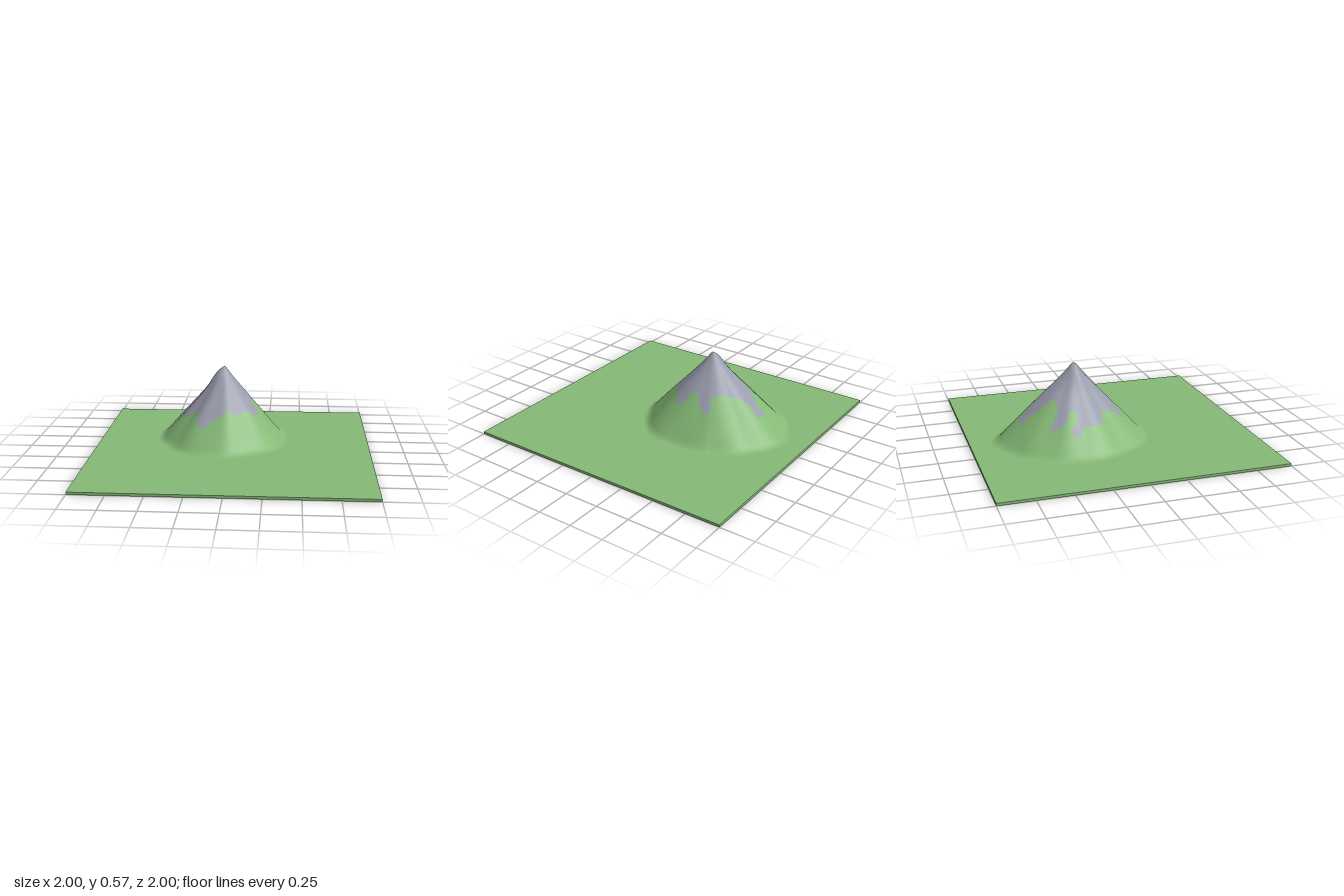
import * as THREE from 'three';

const PLATE = 0.018, PEAK_X = -0.07, PEAK_Z = -0.25;

// Foot radius of the mountain every 30 degrees, from +x towards +z
const RADII = [0.43, 0.47, 0.47, 0.5, 0.5, 0.47, 0.48, 0.5, 0.53, 0.57, 0.51, 0.46];

// Outline of the bare rock seen from above (x, z)
const ROCK = [
  [-0.15, -0.65], [-0.02, -0.65], [-0.06, -0.6], [-0.03, -0.54], [0.05, -0.43], [0.11, -0.36],
  [0.18, -0.39], [0.19, -0.35], [0.17, -0.3], [0.12, -0.25], [0.13, -0.2], [0.18, -0.16],
  [0.18, -0.09], [0.12, -0.08], [0.08, -0.05], [0.02, 0], [-0.03, 0], [-0.08, 0.03],
  [-0.17, 0.06], [-0.21, 0.08], [-0.25, 0.05], [-0.26, -0.05], [-0.29, -0.11], [-0.36, -0.12],
  [-0.39, -0.2], [-0.38, -0.26], [-0.44, -0.31], [-0.43, -0.35], [-0.39, -0.35], [-0.36, -0.3],
  [-0.31, -0.3], [-0.3, -0.34], [-0.36, -0.39], [-0.35, -0.47], [-0.32, -0.49], [-0.28, -0.42],
  [-0.22, -0.41], [-0.18, -0.43], [-0.17, -0.52], [-0.13, -0.6],
].map(([x, z]) => new THREE.Vector2(x, z));

function footRadius(angle) {
  const s = ((angle / (Math.PI * 2) + 1) % 1) * RADII.length;
  const i = Math.floor(s), f = s - i, k = f * f * (3 - 2 * f);
  return THREE.MathUtils.lerp(RADII[i % 12], RADII[(i + 1) % 12], k);
}

// Cone with an uneven foot, soft gullies and a small shoulder beside the summit
function height(x, z) {
  const dx = x - PEAK_X, dz = z - PEAK_Z;
  const angle = Math.atan2(dz, dx);
  const t = Math.hypot(dx, dz) / footRadius(angle);
  const u = 1 - t, w = 0.06;
  const slope = u > w ? u : u < -w ? 0 : (u + w) ** 2 / (4 * w);
  const gully = t < 1 ? 0.01 * Math.sin(9 * angle + 1) * 4 * t * t * (1 - t) : 0;
  const shoulder = 0.035 * Math.exp(-((x + 0.13) ** 2 + (z + 0.24) ** 2) / 0.004);
  return PLATE + 0.545 * slope + gully + shoulder;
}

function insideRock(x, z) {
  let inside = false;
  ROCK.forEach((a, i) => {
    const b = ROCK[(i + 1) % ROCK.length];
    if ((a.y > z) !== (b.y > z) && x < a.x + ((z - a.y) / (b.y - a.y)) * (b.x - a.x)) inside = !inside;
  });
  return inside;
}

// Nearest point on the rock outline
function nearestEdge(p) {
  let best = null, bestD = Infinity;
  ROCK.forEach((a, i) => {
    const ab = ROCK[(i + 1) % ROCK.length].clone().sub(a);
    const t = THREE.MathUtils.clamp(p.clone().sub(a).dot(ab) / ab.lengthSq(), 0, 1);
    const q = a.clone().addScaledVector(ab, t);
    const d = q.distanceTo(p);
    if (d < bestD) { bestD = d; best = q; }
  });
  return { point: best, distance: bestD };
}

// Grid lines: dense under the mountain, sparse on the flat
function gridLines(from, to, step) {
  const lines = [-1];
  const n = Math.round((to - from) / step);
  for (let i = 0; i <= n; i++) lines.push(from + ((to - from) * i) / n);
  lines.push(1);
  return lines;
}

function terrainGeometry() {
  const step = 0.0125;
  const xs = gridLines(-0.66, 0.5, step), zs = gridLines(-0.92, 0.34, step);
  const pos = [], grass = [], rock = [];
  for (const z of zs) for (const x of xs) {
    const p = new THREE.Vector2(x, z);
    // Pull vertices near the outline onto it for a clean colour border
    const edge = nearestEdge(p);
    if (edge.distance < step * 0.5) p.copy(edge.point);
    pos.push(p.x, height(p.x, p.y), p.y);
  }
  const addFace = (...f) => {
    const cx = f.reduce((s, i) => s + pos[i * 3], 0) / 3;
    const cz = f.reduce((s, i) => s + pos[i * 3 + 2], 0) / 3;
    (insideRock(cx, cz) ? rock : grass).push(...f);
  };
  for (let j = 0; j < zs.length - 1; j++) for (let i = 0; i < xs.length - 1; i++) {
    const a = j * xs.length + i, b = a + 1, c = a + xs.length, d = c + 1;
    addFace(a, c, b);
    addFace(b, c, d);
  }
  const g = new THREE.BufferGeometry();
  g.setAttribute('position', new THREE.Float32BufferAttribute(pos, 3));
  g.setIndex([...grass, ...rock]);
  g.addGroup(0, grass.length, 0);
  g.addGroup(grass.length, rock.length, 1);
  g.computeVertexNormals();
  return g;
}

export function createModel() {
  const grass = new THREE.MeshStandardMaterial({ color: 0x86ba76 });
  grass.name = 'grass green';
  const rock = new THREE.MeshStandardMaterial({ color: 0x9a9dad });
  rock.name = 'rock grey';

  const model = new THREE.Group();
  model.name = 'mountainTerrain';
  const add = (name, geometry, material) => {
    const mesh = new THREE.Mesh(geometry, material);
    mesh.name = name;
    model.add(mesh);
    return mesh;
  };

  add('mountainSurface', terrainGeometry(), [grass, rock]);

  // Four thin side walls of the ground plate
  const walls = new THREE.BoxGeometry(2, PLATE, 2).translate(0, PLATE / 2, 0);
  walls.clearGroups();
  walls.setIndex(Array.from(walls.index.array).filter((_, i) => i < 12 || i >= 24));
  add('plateSides', walls, grass);

  // Underside, with the rock footprint showing through; shape y becomes z, facing down
  const square = new THREE.Shape([[-1, -1], [1, -1], [1, 1], [-1, 1]].map(([x, y]) => new THREE.Vector2(x, y)));
  square.holes.push(new THREE.Path(ROCK));
  add('plateUnderside', new THREE.ShapeGeometry(square).rotateX(Math.PI / 2), grass);
  add('rockUnderside', new THREE.ShapeGeometry(new THREE.Shape(ROCK)).rotateX(Math.PI / 2), rock);

  return model;
}
